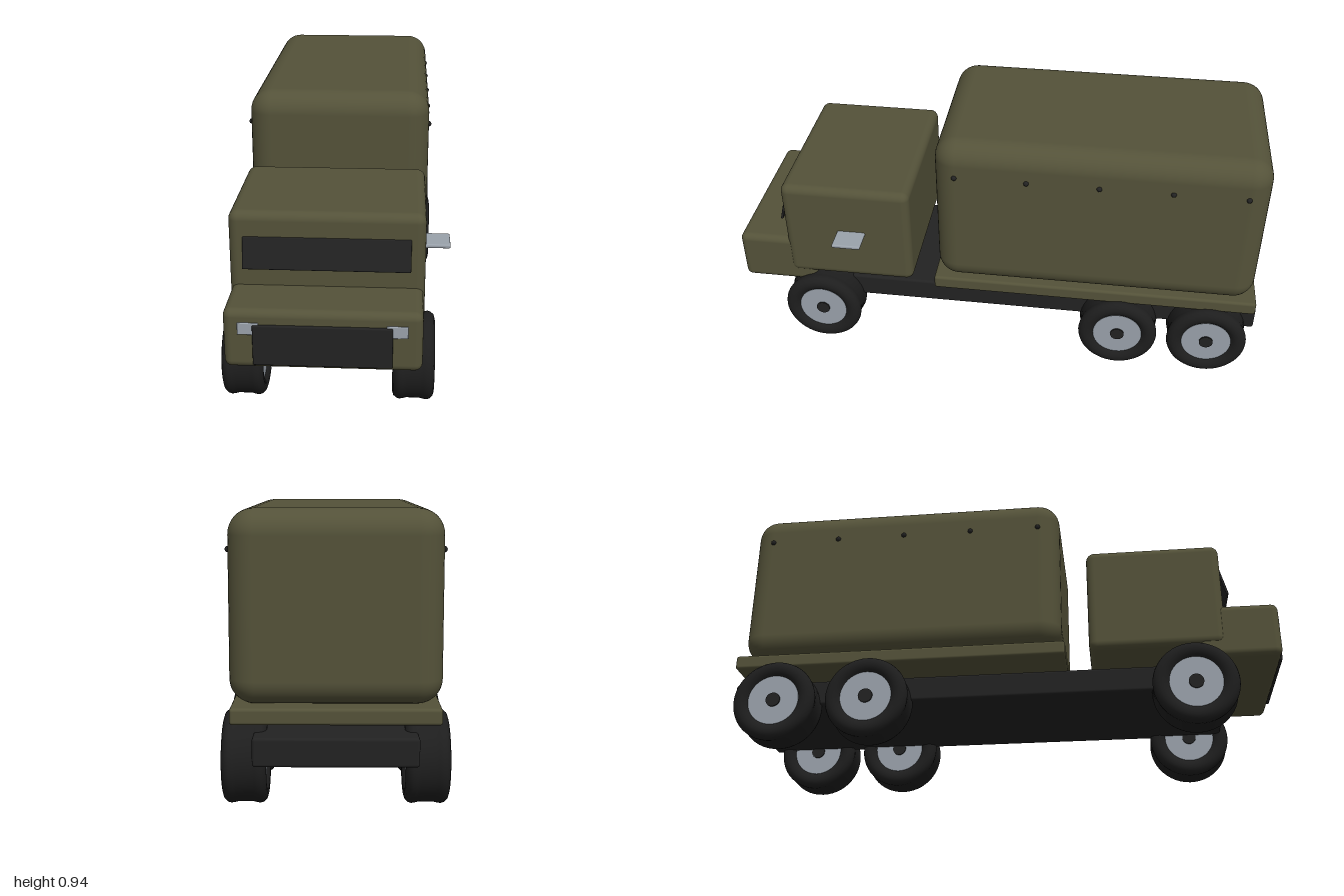
import * as THREE from 'three';
import { RoundedBoxGeometry } from 'three/addons/geometries/RoundedBoxGeometry.js';

export function createModel() {
  const model = new THREE.Group();
  model.name = 'truck';

  const material = (name, color) => {
    const m = new THREE.MeshStandardMaterial({ color });
    m.name = name;
    return m;
  };
  const olive = material('olive paint', 0x545239);
  const dark = material('dark trim', 0x222222);
  const rubber = material('black rubber', 0x1e1e1e);
  const silver = material('light grey metal', 0x9aa2ab);

  const add = (parent, name, geometry, mat) => {
    const mesh = new THREE.Mesh(geometry, mat);
    mesh.name = name;
    parent.add(mesh);
    return mesh;
  };

  // Rounded block given by its extents on each axis
  const block = (parent, name, mat, [x0, x1], [y0, y1], [z0, z1], radius, segments = 4) => {
    const mesh = add(parent, name,
      new RoundedBoxGeometry(x1 - x0, y1 - y0, z1 - z0, segments, radius), mat);
    mesh.position.set((x0 + x1) / 2, (y0 + y1) / 2, (z0 + z1) / 2);
    return mesh;
  };

  // The body is symmetric about this line; the mirror sticks out on one side
  const body = new THREE.Group();
  body.name = 'body';
  body.position.x = -0.025;
  model.add(body);
  const wide = (w) => [-w / 2, w / 2];

  // Chassis, cargo bed and cover
  block(body, 'chassis', dark, wide(0.51), [0.163, 0.255], [-1, 0.8], 0.01);
  block(body, 'cargoBed', olive, wide(0.648), [0.29, 0.342], [-0.985, 0.23], 0.01);
  block(body, 'cargoCover', olive, wide(0.66), [0.34, 0.942], [-0.97, 0.217], 0.08, 5);

  // Cover tie-down studs
  const studGeometry = new THREE.SphereGeometry(0.01, 12, 8);
  for (const side of [-1, 1]) {
    for (let i = 0; i < 5; i++) {
      const stud = add(body, 'coverStud', studGeometry, dark);
      stud.position.set(side * 0.329, 0.817, 0.138 - i * 0.257);
    }
  }

  // Cab and hood
  block(body, 'cab', olive, wide(0.632), [0.305, 0.706], [0.315, 0.8], 0.03);
  block(body, 'hood', olive, wide(0.62), [0.257, 0.457], [0.7, 0.99], 0.025);

  // Leaning windshield
  const windshield = add(body, 'windshield', new RoundedBoxGeometry(0.54, 0.106, 0.009, 2, 0.004), dark);
  windshield.position.set(0, 0.573, 0.811);
  windshield.rotation.x = -0.25;

  // Grille and headlights
  block(body, 'grille', dark, wide(0.434), [0.275, 0.411], [0.96, 1], 0.004);
  for (const side of [-1, 1]) {
    const lamp = block(body, 'headlight', silver, wide(0.066), [0.377, 0.417], [0.96, 0.995], 0.003);
    lamp.position.x = side * 0.231;
  }

  // Side mirror
  block(model, 'sideMirror', silver, [0.27, 0.378], [0.51, 0.524], [0.488, 0.594], 0.005);

  // Wheels: tyre with two raised shoulders, rim and centre cap
  const half = [
    [0.088, 0.052], [0.1, 0.063], [0.112, 0.069], [0.125, 0.07], [0.138, 0.066],
    [0.147, 0.056], [0.15, 0.046], [0.148, 0.034], [0.145, 0.022],
  ];
  const profile = [
    ...half.map(([r, w]) => new THREE.Vector2(r, -w)),
    ...half.slice().reverse().map(([r, w]) => new THREE.Vector2(r, w)),
  ];
  const tyreGeometry = new THREE.LatheGeometry(profile, 48);
  const rimGeometry = new THREE.CylinderGeometry(0.093, 0.093, 0.115, 40);
  const capGeometry = new THREE.CylinderGeometry(0.026, 0.026, 0.125, 24);
  for (const z of [0.68, -0.482, -0.82]) {
    for (const side of [-1, 1]) {
      const wheel = new THREE.Group();
      wheel.name = z > 0 ? 'frontWheel' : 'rearWheel';
      add(wheel, 'tyre', tyreGeometry, rubber);
      add(wheel, 'rim', rimGeometry, silver);
      add(wheel, 'hubCap', capGeometry, dark);
      wheel.rotation.z = Math.PI / 2;
      wheel.position.set(side * 0.285, 0.152, z);
      body.add(wheel);
    }
  }

  return model;
}
